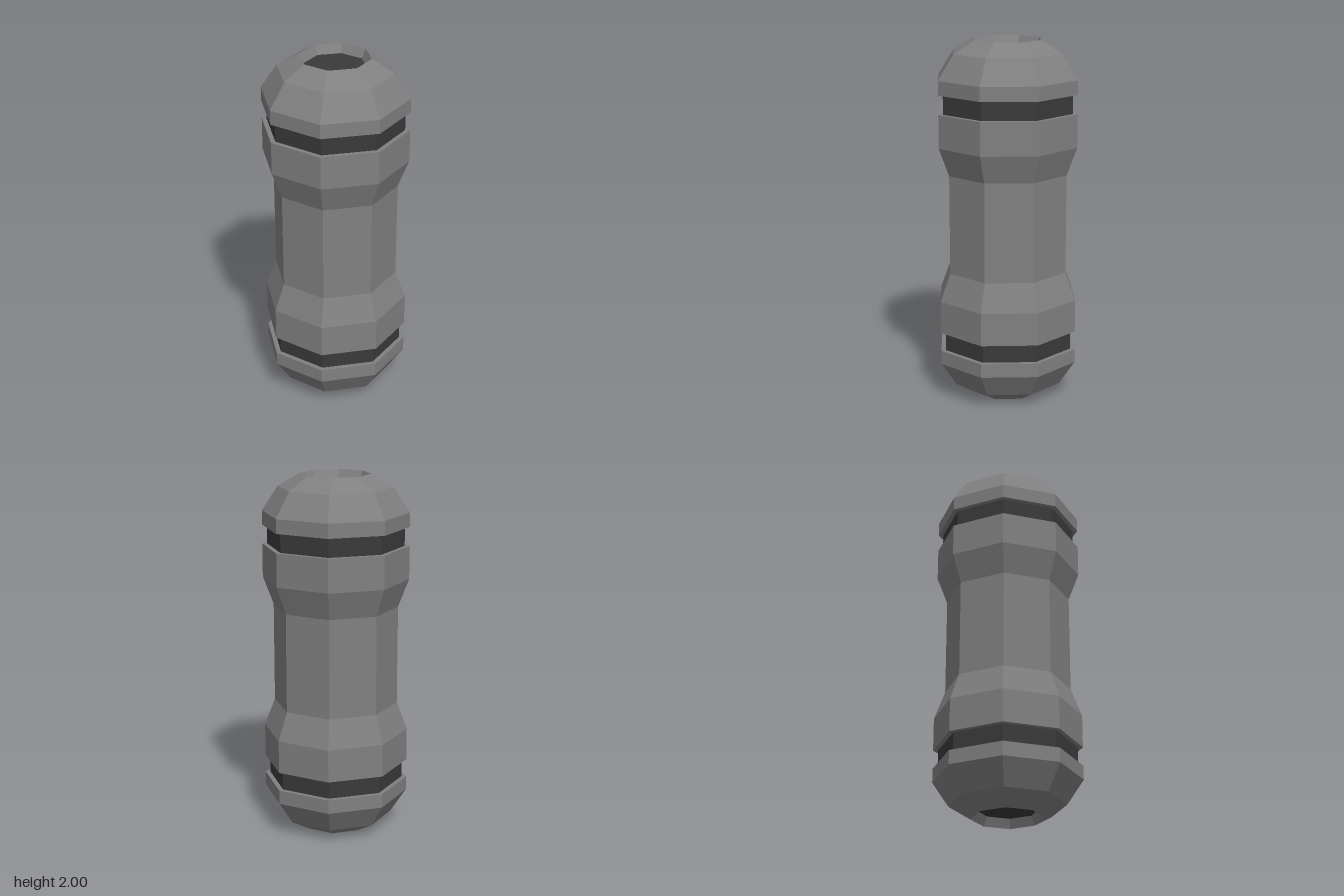
import * as THREE from 'three';

const SIDES = 8;
const toCorner = 1 / Math.cos(Math.PI / SIDES); // flat-to-centre distance -> corner radius

const shell = new THREE.MeshStandardMaterial({ color: 0x808080, flatShading: true });
const dark = new THREE.MeshStandardMaterial({ color: 0x3a3a3a, flatShading: true });

// Octagonal turned part; profile is [flat distance, y], running bottom to top on the outside
function turned(name, profile, material) {
  const points = profile.map(([d, y]) => new THREE.Vector2(d * toCorner, y));
  const mesh = new THREE.Mesh(new THREE.LatheGeometry(points, SIDES, Math.PI / SIDES), material);
  mesh.name = name;
  return mesh;
}

// Rounded end with a shallow recess, a dark band and a dark recess floor (bottom end)
function createEnd(name) {
  const end = new THREE.Group();
  end.name = name;
  end.add(
    turned('endCap', [
      [0.155, 0.05], [0.178, 0], [0.29, 0.07], [0.372, 0.205], [0.372, 0.283], [0.347, 0.283],
    ], shell),
    turned('grooveBand', [[0.347, 0.283], [0.347, 0.387]], dark),
  );
  const floor = new THREE.Mesh(
    new THREE.CircleGeometry(0.155 * toCorner, SIDES, Math.PI / SIDES), dark);
  floor.rotation.x = Math.PI / 2;
  floor.position.y = 0.05;
  floor.name = 'recessFloor';
  end.add(floor);
  return end;
}

export function createModel() {
  const model = new THREE.Group();
  model.name = 'canister';

  // Waisted middle body with flared collars
  model.add(turned('body', [
    [0.347, 0.387], [0.372, 0.387], [0.372, 0.57], [0.318, 0.725],
    [0.318, 1.275], [0.372, 1.43], [0.372, 1.613], [0.347, 1.613],
  ], shell));

  // Matching ends, the top one turned over
  const top = createEnd('topEnd');
  top.rotation.x = Math.PI;
  top.position.y = 2;
  model.add(createEnd('bottomEnd'), top);

  return model;
}
